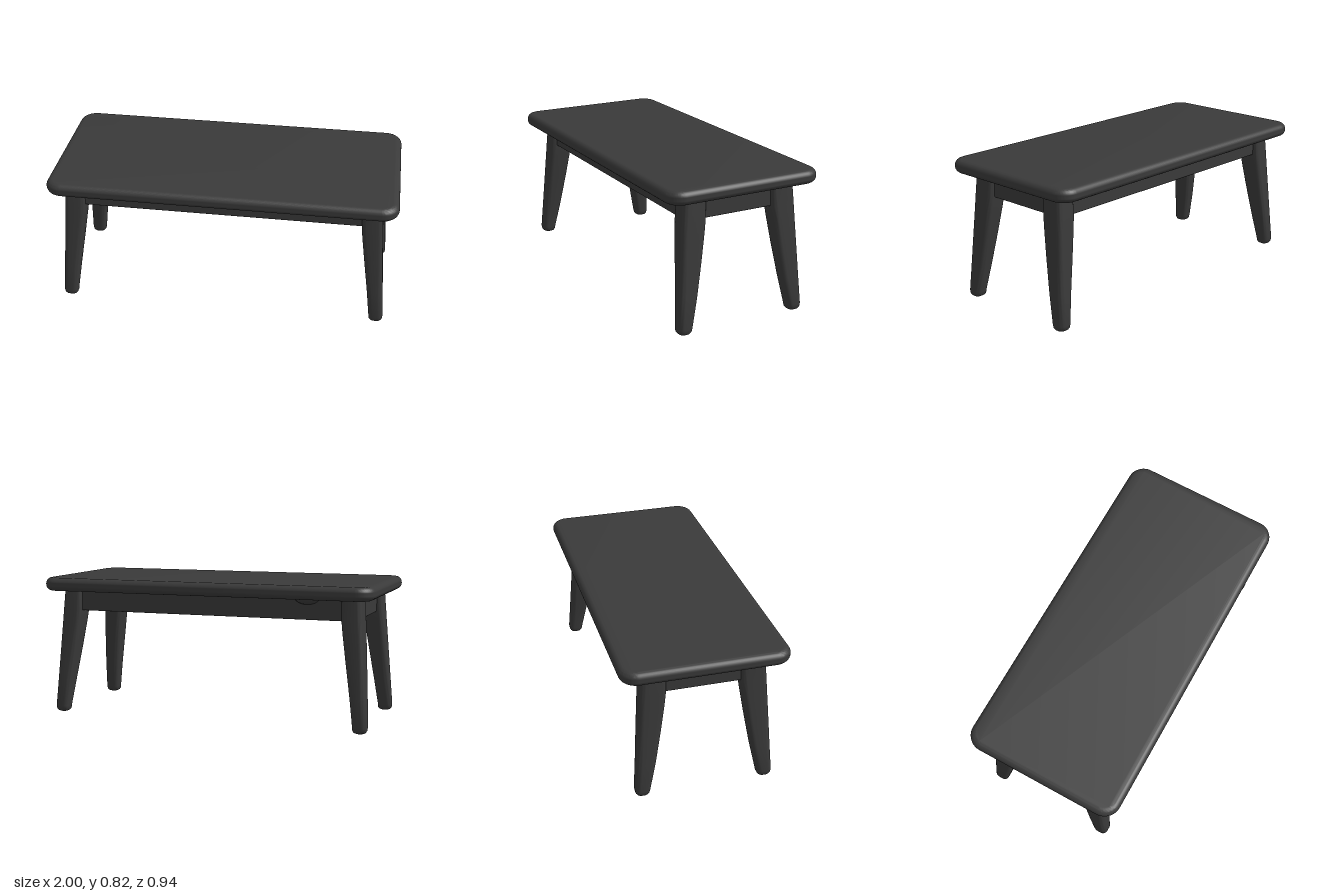
import * as THREE from 'three';
import { toCreasedNormals } from 'three/addons/utils/BufferGeometryUtils.js';
import { RoundedBoxGeometry } from 'three/addons/geometries/RoundedBoxGeometry.js';

// Rounded rectangle outline centred on the origin
function roundedRect(w, d, r) {
  const s = new THREE.Shape();
  s.absarc(w / 2 - r, d / 2 - r, r, 0, Math.PI / 2);
  s.absarc(-w / 2 + r, d / 2 - r, r, Math.PI / 2, Math.PI);
  s.absarc(-w / 2 + r, -d / 2 + r, r, Math.PI, Math.PI * 1.5);
  s.absarc(w / 2 - r, -d / 2 + r, r, Math.PI * 1.5, Math.PI * 2);
  s.closePath();
  return s;
}

// Leg sections, bottom to top: y, inner x, outer x, inner z, outer z, corner radius
const LEG = [
  [0.0, 0.9, 0.942, 0.332, 0.37, 0.018],
  [0.006, 0.887, 0.954, 0.318, 0.382, 0.024],
  [0.016, 0.881, 0.96, 0.311, 0.389, 0.027],
  [0.035, 0.88, 0.962, 0.307, 0.392, 0.028],
  [0.2, 0.859, 0.95, 0.273, 0.38, 0.028],
  [0.4, 0.83, 0.935, 0.24, 0.366, 0.027],
  [0.55, 0.809, 0.924, 0.218, 0.355, 0.026],
  [0.62, 0.801, 0.919, 0.21, 0.35, 0.025],
  [0.76, 0.798, 0.909, 0.205, 0.339, 0.024],
];

// Skins the leg sections; sx and sz place it in a corner of the table
function legGeometry(sx, sz) {
  const pos = [], index = [], steps = 5, n = 4 * (steps + 1);
  for (const [y, x0, x1, z0, z1, r] of LEG) {
    for (let c = 0; c < 4; c++) {
      const cx = c === 0 || c === 3 ? x1 - r : x0 + r;
      const cz = c < 2 ? z1 - r : z0 + r;
      for (let i = 0; i <= steps; i++) {
        const a = (c + i / steps) * Math.PI / 2;
        pos.push(sx * (cx + r * Math.cos(a)), y, sz * (cz + r * Math.sin(a)));
      }
    }
  }
  const tri = (a, b, c) => (sx * sz > 0 ? index.push(a, b, c) : index.push(a, c, b));
  for (let k = 0; k < LEG.length - 1; k++) {
    for (let i = 0; i < n; i++) {
      const a = k * n + i, b = k * n + (i + 1) % n;
      tri(a, a + n, b);
      tri(b, a + n, b + n);
    }
  }
  // foot
  for (let i = 1; i < n - 1; i++) tri(0, i, i + 1);
  const g = new THREE.BufferGeometry();
  g.setAttribute('position', new THREE.Float32BufferAttribute(pos, 3));
  g.setIndex(index);
  return toCreasedNormals(g, 0.9);
}

export function createModel() {
  const group = new THREE.Group();
  const darkWood = new THREE.MeshStandardMaterial({ color: 0x3a3a3a });
  darkWood.name = 'dark wood';
  const add = (name, geometry, x = 0, y = 0, z = 0) => {
    const mesh = new THREE.Mesh(geometry, darkWood);
    mesh.name = name;
    mesh.position.set(x, y, z);
    group.add(mesh);
    return mesh;
  };

  // Table top with a bullnose edge
  const bevel = 0.037;
  const top = new THREE.ExtrudeGeometry(roundedRect(2 - 2 * bevel, 0.936 - 2 * bevel, 0.06), {
    depth: 0.004, bevelEnabled: true, bevelSize: bevel, bevelThickness: bevel,
    bevelSegments: 8, curveSegments: 10,
  });
  top.translate(0, 0, -0.002);
  top.rotateX(-Math.PI / 2);
  add('tableTop', toCreasedNormals(top, 0.6), 0, 0.781, 0);

  // Splayed legs
  for (const sx of [1, -1]) {
    for (const sz of [1, -1]) {
      add(`${sz > 0 ? 'front' : 'back'}${sx > 0 ? 'Left' : 'Right'}Leg`, legGeometry(sx, sz));
    }
  }

  // Aprons between the legs, and a small bump under the top on each long apron
  for (const s of [1, -1]) {
    const end = s > 0 ? 'front' : 'back', side = s > 0 ? 'left' : 'right';
    add(`${end}Apron`, new RoundedBoxGeometry(1.68, 0.14, 0.05, 2, 0.008), 0, 0.688, s * 0.295);
    add(`${side}Apron`, new RoundedBoxGeometry(0.05, 0.14, 0.5, 2, 0.008), s * 0.86, 0.688, 0);
    const bump = new THREE.SphereGeometry(1, 20, 12);
    bump.scale(0.075, 0.042, 0.07);
    add(`${end}Bump`, bump, -0.6, 0.745, s * 0.305);
  }
  return group;
}
